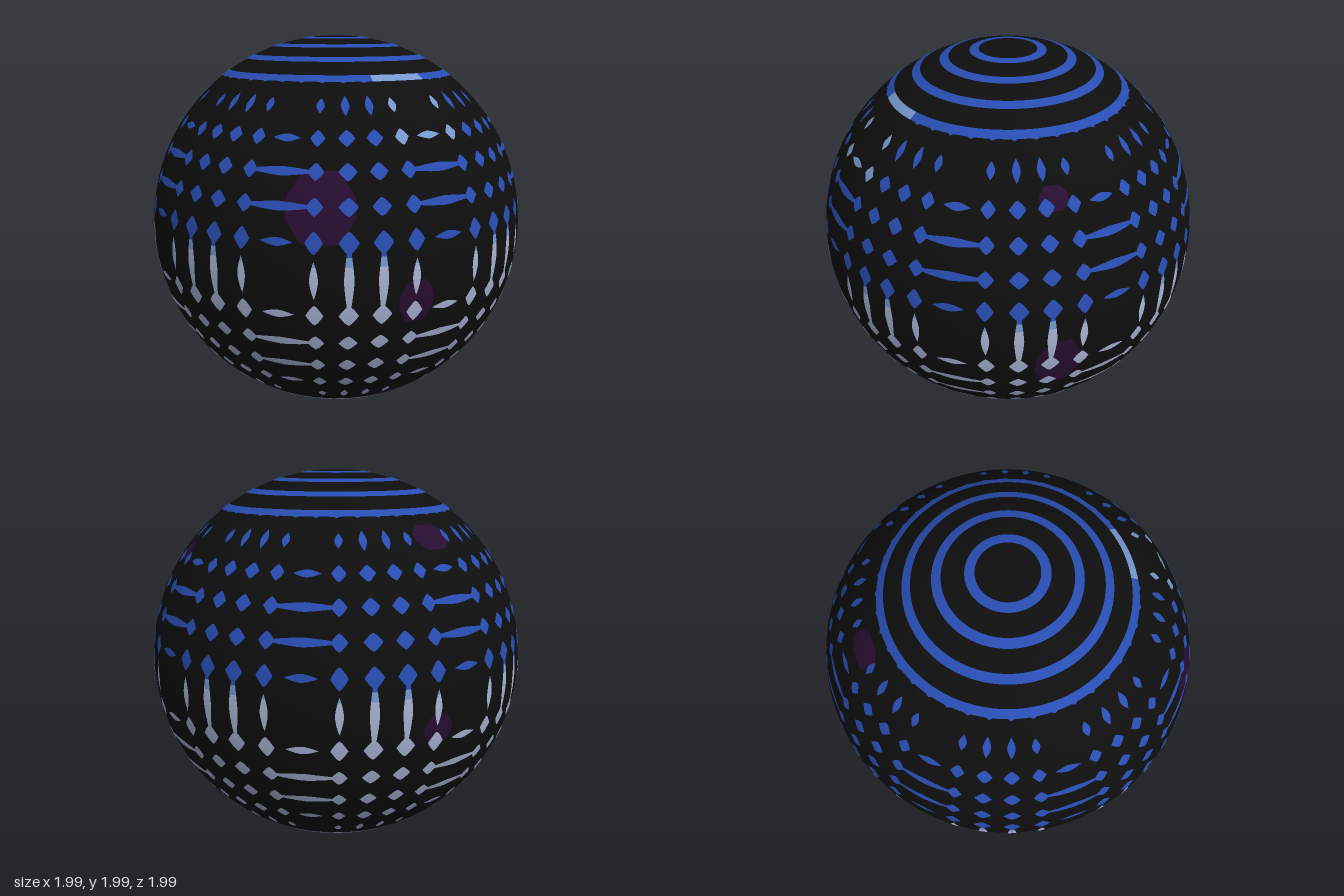
import * as THREE from 'three';

const RAD = Math.PI / 180;
const COLS = [9.5, 18.2, 26.8, 35.5]; // mark positions inside each 45 degree block

const material = (name, color) => {
  const m = new THREE.MeshStandardMaterial({ color });
  m.name = name;
  return m;
};

// Collects curved patches laid on a sphere into one mesh.
class Inlay {
  constructor(name, mat, radius) {
    Object.assign(this, { name, mat, radius, pos: [], nor: [], idx: [] });
  }

  // Strip along longitude (or along the meridian) centred on lon / polar, in degrees.
  // width(t) is the half width for t from -1 to 1; only t0..t1 is built.
  strip(lon, polar, half, width, { vertical = false, steps = 10, across = 2, t0 = -1, t1 = 1, stretch = 1 } = {}) {
    const base = this.pos.length / 3;
    for (let i = 0; i <= steps; i++) {
      const t = t0 + (t1 - t0) * i / steps;
      for (let j = 0; j <= across; j++) {
        const a = t * half;
        const b = (2 * j / across - 1) * width(t);
        const l = (lon + (vertical ? b : a) * stretch) * RAD;
        const p = (polar + (vertical ? a : b)) * RAD;
        const n = [Math.sin(p) * Math.sin(l), Math.cos(p), Math.sin(p) * Math.cos(l)];
        this.nor.push(...n);
        this.pos.push(...n.map((v) => v * this.radius));
        if (i < steps && j < across) {
          const q = base + i * (across + 1) + j;
          const r = q + across + 1;
          this.idx.push(...(vertical ? [q, r, r + 1, q, r + 1, q + 1] : [q, q + 1, r + 1, q, r + 1, r]));
        }
      }
    }
  }

  mesh() {
    const g = new THREE.BufferGeometry();
    g.setAttribute('position', new THREE.Float32BufferAttribute(this.pos, 3));
    g.setAttribute('normal', new THREE.Float32BufferAttribute(this.nor, 3));
    g.setIndex(this.idx);
    const m = new THREE.Mesh(g, this.mat);
    m.name = this.name;
    return m;
  }
}

export function createModel() {
  const group = new THREE.Group();
  group.name = 'patternedSphere';

  const body = new THREE.Mesh(new THREE.SphereGeometry(0.997, 160, 80), material('black', 0x0e0e0e));
  body.name = 'sphereBody';

  const blue = new Inlay('upperMarks', material('blue', 0x284db2), 1);
  const grey = new Inlay('lowerMarks', material('pale lavender', 0xa9b3d4), 1);
  const sky = new Inlay('highlightMarks', material('light blue', 0x7597cb), 1);
  const purple = new Inlay('purplePatches', material('dark purple', 0x270d30), 0.9985);

  const lens = (w) => (t) => w * (1 - Math.abs(t) ** 1.6);
  const diamond = (w) => (t) => w * (1 - Math.abs(t) ** 1.35);
  const bridge = (w) => (t) => w * (0.35 + 0.65 * (1 - Math.abs(t) ** 1.3));

  // Closed rings around both poles; the outermost has a wavy edge
  COLS.forEach((p, i) => {
    const w = (t) => 1.3 + (i === 3 ? 0.25 * Math.cos(40 * t * Math.PI) : 0);
    const opt = { steps: 360 };
    grey.strip(0, 180 - p, 180, w, opt);
    if (i < 3) {
      blue.strip(0, p, 180, w, opt);
    } else {
      blue.strip(224.5, p, 166.5, () => 1.3, { steps: 300 });
      sky.strip(44.5, p, 13.5, () => 1.3, { steps: 30 });
      for (let k = 0; k < 40; k++) if (k < 4 || k > 6) blue.strip(k * 9, p + 0.6, 2.6, diamond(1.2));
    }
  });

  for (let block = 0; block < 8; block++) {
    const start = block * 45;

    // Upper and lower grids of diamonds, with bars across the gaps between blocks
    for (const lower of [false, true]) {
      COLS.forEach((c, row) => {
        const polar = lower ? 135 - c : 45 + c;
        const p = lower ? 180 - (45 + c) : polar;
        const pick = (lon) => (lower ? grey : row === 0 && lon > 31 && lon < 58 ? sky : blue);
        COLS.forEach((d, col) => {
          const size = col === 1 || col === 2 ? 2.6 : 2.3;
          pick(start + d).strip(start + d, p, size, diamond(row === 3 ? 2.9 : 2.3));
        });
        const inner = row === 1 || row === 2;
        pick(start).strip(start, p, inner ? 8.2 : 4.3, inner ? bridge(1.2) : lens(1.1), { steps: 16 });
      });
    }

    COLS.forEach((d, col) => {
      const inner = col === 1 || col === 2;
      const lon = start + d;

      // Short upright marks between the rings and the grids
      const len = inner ? 3.2 : 2.4;
      const lit = lon > 31 && lon < 58;
      (lit ? sky : blue).strip(lon, 45, len, lens(1.5), { vertical: true });
      grey.strip(lon, 135, len, lens(1.5), { vertical: true });

      // Tall upright marks on the equator, changing colour towards the top
      const half = inner ? 8 : 5;
      const w = inner ? bridge(1.3) : lens(1.1);
      const cut = (deg) => Math.max(-1, deg / half);
      if (inner) blue.strip(lon, 90, half, w, { vertical: true, t1: cut(-6) });
      sky.strip(lon, 90, half, w, { vertical: true, t0: cut(-6), t1: cut(-3.5) });
      grey.strip(lon, 90, half, w, { vertical: true, t0: cut(-3.5) });
    });
  }

  // Rounded dark patches beneath the marks: longitude, height, half width, half height
  const patches = [
    [11, 1.31, 8.6, 9],
    [36, 0.88, 4.8, 5.8],
    [119, 0.82, 6.2, 9.3],
    [119.5, 1.61, 3.6, 3.2],
    [226.7, 1.71, 5.6, 4.2],
    [216, 0.895, 4.2, 4],
    [38, 0.23, 4.2, 4],
    [242, 0.23, 6, 5],
  ];
  for (const [lon, y, w, h] of patches) {
    const polar = Math.acos(y - 1) / RAD;
    const outline = (t) => h * Math.min(1, (1 - Math.abs(t)) * 1.5 + 0.3);
    purple.strip(lon, polar, w, outline, { steps: 12, across: 8, stretch: 1 / Math.sin(polar * RAD) });
  }

  group.add(body, ...[blue, grey, sky, purple].map((inlay) => inlay.mesh()));
  group.children.forEach((m) => (m.position.y = 1));
  return group;
}
